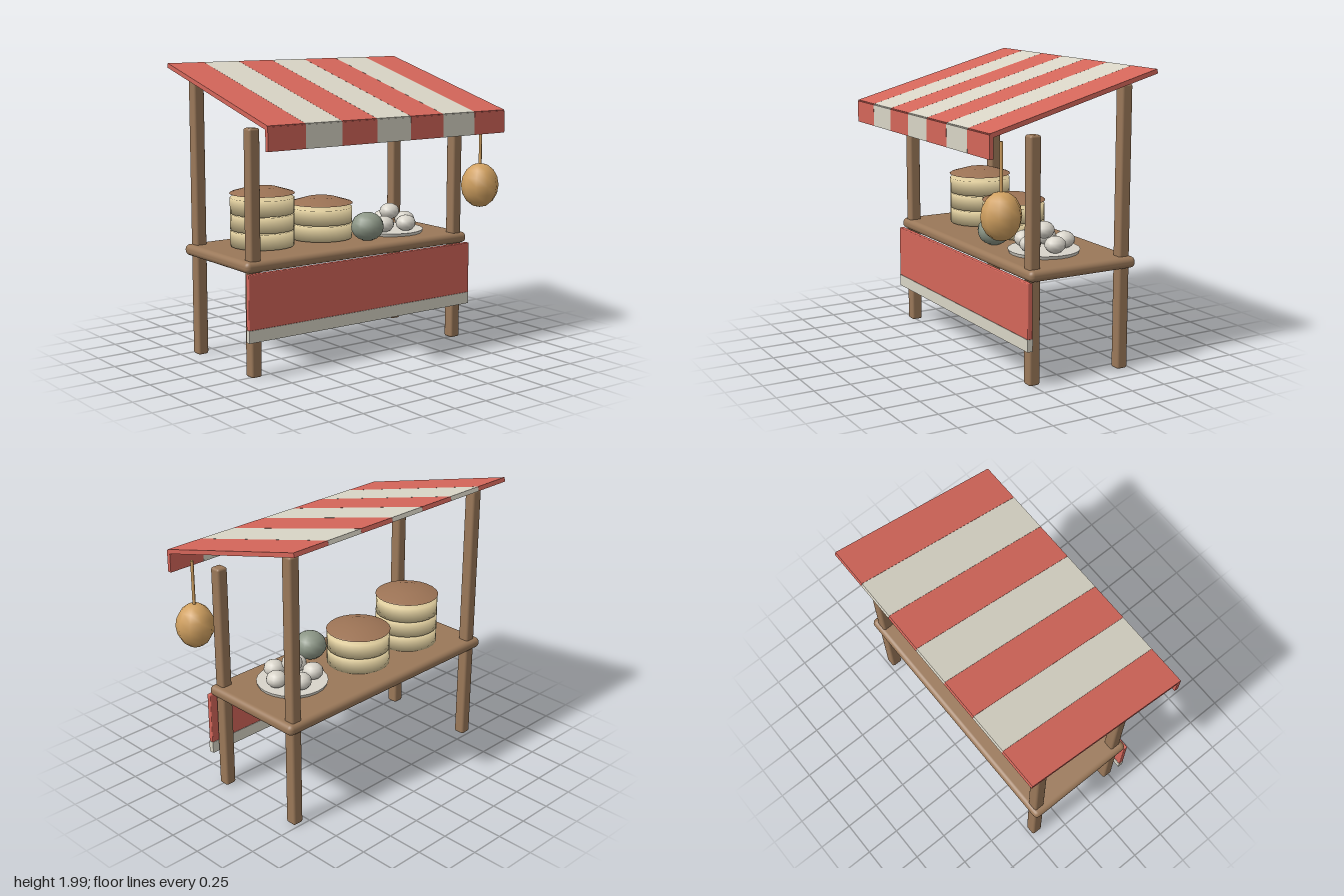
import * as THREE from 'three';
import { RoundedBoxGeometry } from 'three/addons/geometries/RoundedBoxGeometry.js';

const mat = (name, color, side = THREE.FrontSide) => {
  const m = new THREE.MeshStandardMaterial({ color, side });
  m.name = name;
  return m;
};

export function createModel() {
  const red = mat('red cloth', 0xd4665a);
  const cream = mat('cream cloth', 0xd9d5c6);
  const wood = mat('wood', 0x9a7859);
  const bamboo = mat('pale bamboo', 0xddcb9c);
  const lidWood = mat('lid wood', 0x9c7355, THREE.DoubleSide);
  const green = mat('grey green', 0x8c9686);
  const bunWhite = mat('bun white', 0xd8d4ca);
  const tan = mat('gourd tan', 0xd0a060);

  const model = new THREE.Group();
  model.name = 'marketStall';
  const add = (name, geo, material, x, y, z, parent = model) => {
    const m = new THREE.Mesh(geo, material);
    m.name = name;
    m.position.set(x, y, z);
    parent.add(m);
    return m;
  };
  const cx = -0.02;

  // Posts: short in front, tall at the back
  for (const s of [-1, 1]) {
    const side = s > 0 ? 'left' : 'right';
    add(side + 'FrontPost', new RoundedBoxGeometry(0.08, 1.62, 0.08, 2, 0.016), wood, cx + s * 0.85, 0.815, 0.24);
    add(side + 'BackPost', new RoundedBoxGeometry(0.08, 1.9, 0.08, 2, 0.016), wood, cx + s * 0.85, 0.955, -0.442);
  }

  // Counter and its front cloth
  add('counter', new RoundedBoxGeometry(1.865, 0.076, 0.81, 3, 0.034), wood, cx, 0.737, -0.104);
  add('frontCloth', new RoundedBoxGeometry(1.865, 0.365, 0.036, 2, 0.006), red, cx, 0.518, 0.303);
  add('clothTrim', new THREE.BoxGeometry(1.865, 0.082, 0.038), cream, cx, 0.296, 0.303);

  // Striped awning with hanging valance
  const awning = new THREE.Group();
  awning.name = 'awning';
  model.add(awning);
  const pitch = 0.278;
  for (let i = 0; i < 7; i++) {
    const x = cx + (i - 3) * pitch;
    const m = i % 2 ? cream : red;
    add('roofStripe', new THREE.BoxGeometry(pitch - 0.001, 0.03, 1.262), m, x, 1.822, 0, awning)
      .rotation.x = THREE.MathUtils.degToRad(15);
    add('valanceStripe', new THREE.BoxGeometry(pitch - 0.001, 0.15, 0.028), m, x, 1.591, 0.604, awning);
  }

  // Stacked steamers: softly shaded tiers and a shallow lid
  const lathe = (pts) => new THREE.LatheGeometry(pts.map((p) => new THREE.Vector2(...p)), 24);
  const tierGeo = lathe([[0, 0], [0.218, 0], [0.218, 0.105], [0, 0.105]]);
  const lidGeo = lathe([[0.222, 0], [0.215, 0.006], [0.1, 0.04], [0, 0.04]]);
  const steamer = (x, tiers) => {
    const g = new THREE.Group();
    g.name = 'steamer';
    g.position.set(x, 0.78, -0.145);
    model.add(g);
    for (let i = 0; i < tiers; i++) add('tier', tierGeo, bamboo, 0, i * 0.112, 0, g);
    add('lid', lidGeo, lidWood, 0, tiers * 0.112 + 0.02, 0, g);
  };
  steamer(-0.548, 3);
  steamer(-0.06, 2);

  // Round melon
  add('melon', new THREE.SphereGeometry(0.115, 14, 10), green, 0.142, 0.872, 0.125).scale.y = 0.87;

  // Plate of buns: a ring of five and one on top
  add('plate', new THREE.CylinderGeometry(0.243, 0.235, 0.022, 24), bunWhite, 0.483, 0.786, -0.06);
  const bunGeo = new THREE.SphereGeometry(0.072, 12, 8);
  const bun = (x, y, z) => { add('bun', bunGeo, bunWhite, x, y, z).scale.y = 0.8; };
  for (let i = 0; i < 5; i++) {
    const a = (i / 5) * Math.PI * 2;
    bun(0.483 + 0.14 * Math.cos(a), 0.85, -0.06 + 0.14 * Math.sin(a));
  }
  bun(0.483, 0.922, -0.06);

  // Hanging gourd
  add('gourd', new THREE.SphereGeometry(0.132, 10, 8), tan, 0.858, 1.142, 0.482).scale.y = 1.18;
  add('gourdCord', new THREE.CylinderGeometry(0.011, 0.011, 0.34, 6), tan, 0.858, 1.435, 0.482);

  return model;
}
